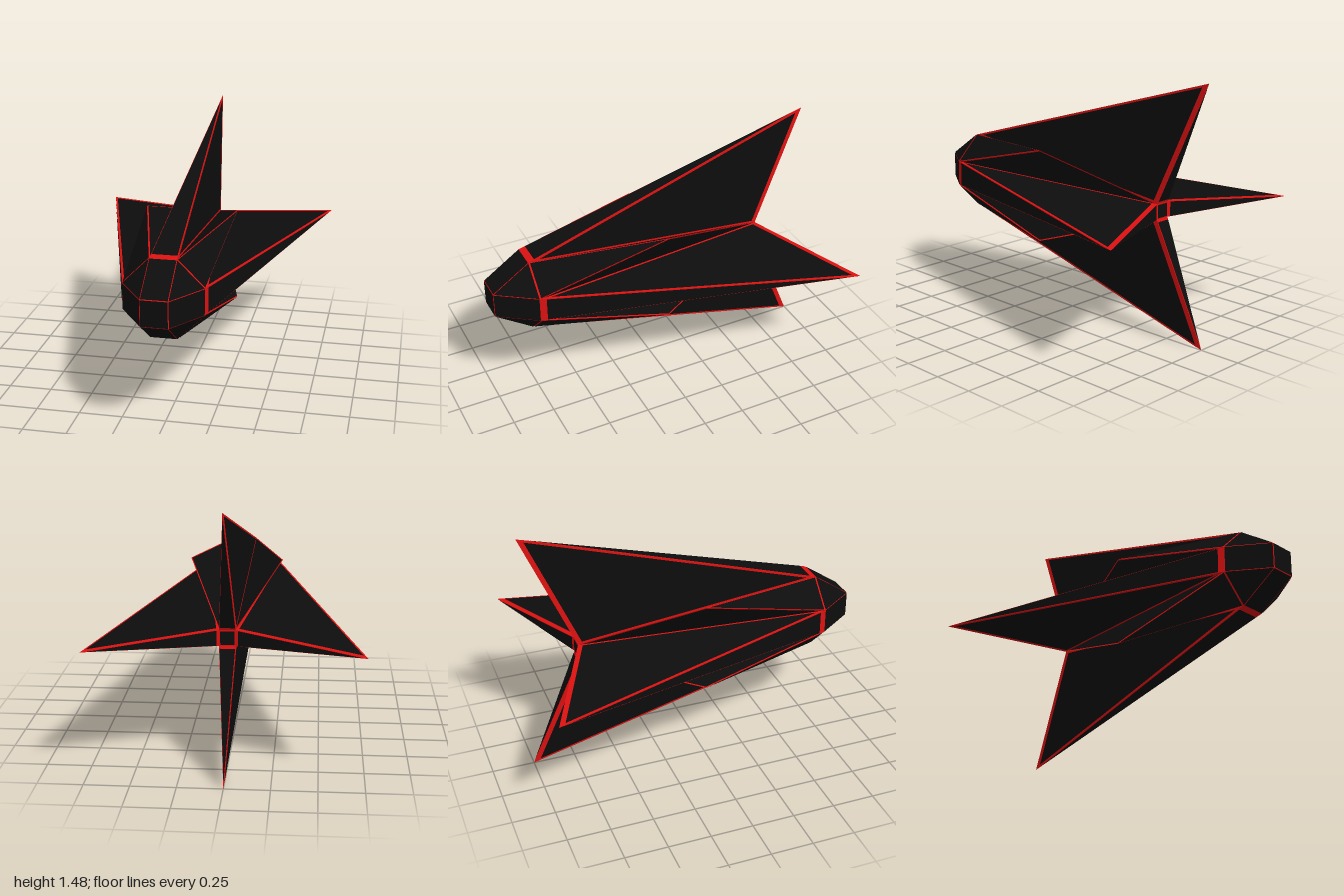
import * as THREE from 'three';

const CENTRE_Y = 0.742;
const LIFT = 0.002; // how far the dark plates sit above the hull

// Corner points of one quarter, around the z axis
const P = {
  noseA: [0.075, 0.075, 1], noseB: [0.075, -0.075, 1],
  ringA: [0.225, 0.075, 0.78], ringB: [0.225, -0.075, 0.78], ringC: [0.075, 0.225, 0.78],
  tip: [0.742, 0, -1], ridge: [0.268, 0.273, 0],
  tailA: [0.045, 0.045, -0.7], tailB: [0.045, -0.045, -0.7],
};

// name, corners (counter-clockwise from outside), plate scale about its centre
const FACES = [
  ['finUpper', ['ringA', 'tip', 'tailA'], 0.94],
  ['finLower', ['ringB', 'tailB', 'tip'], 0.94],
  ['finLeadingEdge', ['ringB', 'tip', 'ringA'], 0.94],
  ['finTrailingEdge', ['tip', 'tailB', 'tailA'], 0.94],
  ['ridgeSideA', ['ringA', 'tailA', 'ridge'], 0.96],
  ['ridgeSideB', ['ringC', 'ridge', 'tailA'], 0.96],
  ['ridgeFront', ['ringA', 'ridge', 'ringC'], 0.97],
  ['nosePanel', ['noseB', 'ringB', 'ringA', 'noseA'], 0.98],
  ['noseCorner', ['noseA', 'ringA', 'ringC'], 0.98],
];

const turn = (p, k) => new THREE.Vector3(...p).applyAxisAngle(new THREE.Vector3(0, 0, 1), k * Math.PI / 2);

// Flat convex polygon soup as a geometry
function polygons(list) {
  const pos = [];
  for (const pts of list) {
    for (let i = 1; i < pts.length - 1; i++) {
      for (const p of [pts[0], pts[i], pts[i + 1]]) pos.push(p.x, p.y, p.z);
    }
  }
  const g = new THREE.BufferGeometry();
  g.setAttribute('position', new THREE.Float32BufferAttribute(pos, 3));
  g.computeVertexNormals();
  return g;
}

// Shrunken copy of a face, lifted along its normal
function inset(pts, scale) {
  const c = pts.reduce((s, p) => s.add(p), new THREE.Vector3()).divideScalar(pts.length);
  const n = pts[1].clone().sub(pts[0]).cross(pts[2].clone().sub(pts[0])).normalize();
  return pts.map(p => p.clone().sub(c).multiplyScalar(scale).add(c).addScaledVector(n, LIFT));
}

export function createModel() {
  const red = new THREE.MeshStandardMaterial({ color: 0xdd1111 });
  red.name = 'red trim';
  const black = new THREE.MeshStandardMaterial({ color: 0x0d0d0d });
  black.name = 'black plating';

  const model = new THREE.Group();
  model.name = 'starFighter';
  const add = (name, list, material) => {
    const mesh = new THREE.Mesh(polygons(list), material);
    mesh.name = name;
    mesh.position.y = CENTRE_Y;
    model.add(mesh);
  };

  const hull = [];
  const quarters = [0, 1, 2, 3];

  // Four fins, four ridges and the nose facets
  for (const [name, corners, scale] of FACES) {
    const faces = quarters.map(k => corners.map(c => turn(P[c], k)));
    hull.push(...faces);
    add(name + 'Plates', faces.map(f => inset(f, scale)), black);
  }

  // Square caps at nose and tail
  const noseCap = quarters.map(k => turn(P.noseA, k));
  const tailCap = quarters.map(k => turn(P.tailA, -k));
  hull.push(noseCap, tailCap);
  add('noseCapPlate', [inset(noseCap, 0.98)], black);
  add('tailCapPlate', [inset(tailCap, 0.85)], black);

  // Red hull showing as trim between the plates
  add('hull', hull, red);
  return model;
}
